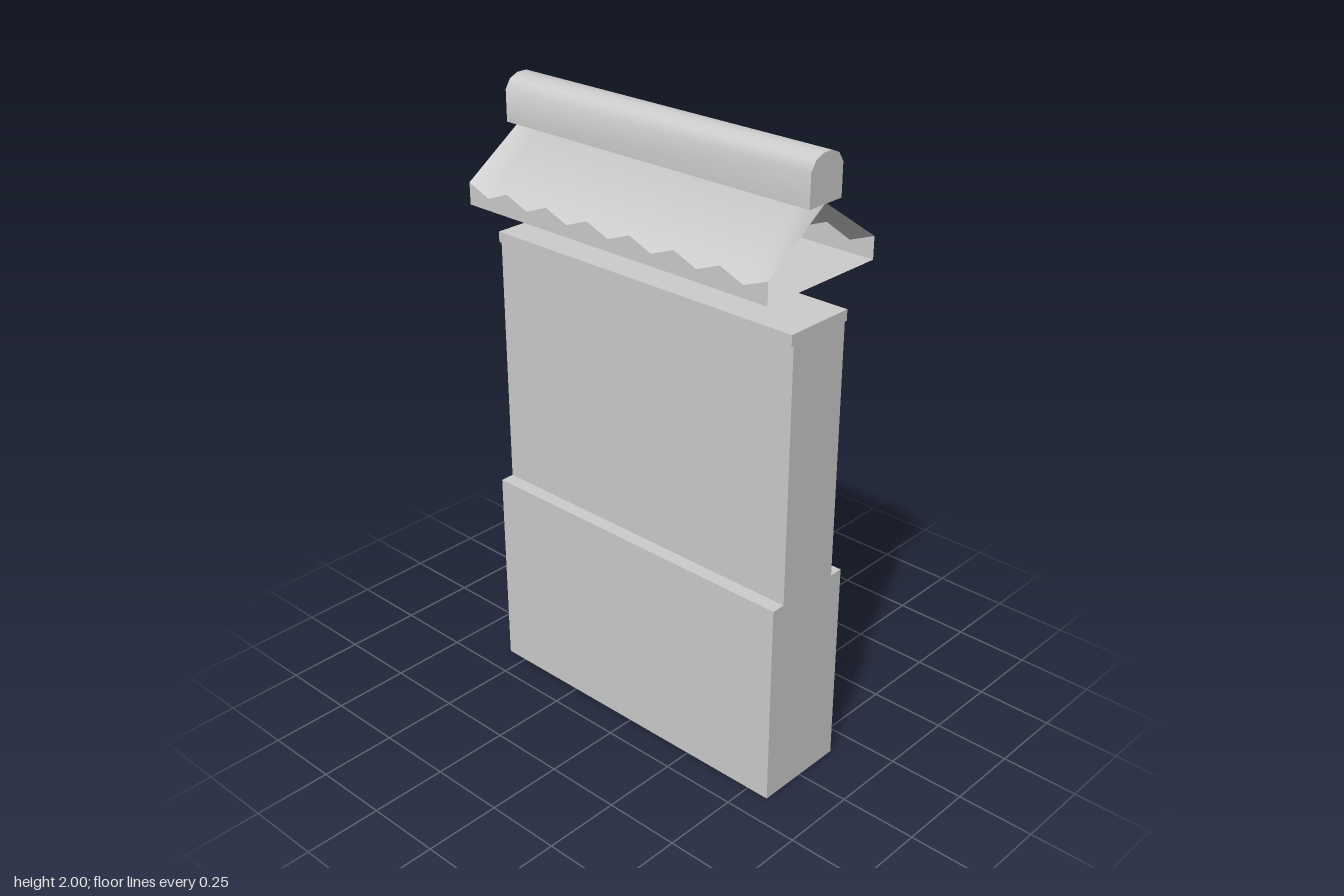
import * as THREE from 'three';
import { toCreasedNormals } from 'three/addons/utils/BufferGeometryUtils.js';

const HALF = 0.575;               // half length of the wall
const WAVES = 7;                  // tile waves along the roof
const COLS = WAVES * 2;           // each wave is one crest and one valley
const EAVE_Z = 0.226, FLOOR_Y = 1.64;

const material = new THREE.MeshStandardMaterial({ color: 0xcccccc, side: THREE.DoubleSide });

function addMesh(parent, name, geometry) {
  const mesh = new THREE.Mesh(geometry, material);
  mesh.name = name;
  parent.add(mesh);
}

// Extrude a [z, y] outline along the whole length, centred on x = 0
function extrudeAlongX(points) {
  const shape = new THREE.Shape(points.map(([z, y]) => new THREE.Vector2(-z, y)));
  return new THREE.ExtrudeGeometry(shape, { depth: HALF * 2, bevelEnabled: false })
    .translate(0, 0, -HALF)
    .rotateY(Math.PI / 2);
}

// Remove the triangles lying flat on y = 0
function openBottom(geometry) {
  const src = geometry.toNonIndexed().getAttribute('position');
  const kept = [];
  for (let i = 0; i < src.count; i += 3) {
    if (Math.max(src.getY(i), src.getY(i + 1), src.getY(i + 2)) < 1e-4) continue;
    for (let k = i; k < i + 3; k++) kept.push(src.getX(k), src.getY(k), src.getZ(k));
  }
  const out = new THREE.BufferGeometry();
  out.setAttribute('position', new THREE.Float32BufferAttribute(kept, 3));
  out.computeVertexNormals();
  return out;
}

// Smooth sheet through rows running along x; each row has z, crest and valley heights
function sheet(rows) {
  const pos = [], index = [], n = COLS + 1;
  for (const { z, crest, valley } of rows) {
    for (let i = 0; i < n; i++) {
      pos.push(-HALF + (2 * HALF * i) / COLS, i % 2 ? valley : crest, z);
    }
  }
  for (let r = 0; r < rows.length - 1; r++) {
    for (let i = 0; i < COLS; i++) {
      const a = r * n + i, b = a + n;
      index.push(a, b, b + 1, a, b + 1, a + 1);
    }
  }
  const g = new THREE.BufferGeometry();
  g.setAttribute('position', new THREE.Float32BufferAttribute(pos, 3));
  g.setIndex(index);
  g.computeVertexNormals();
  return g;
}

export function createModel() {
  const model = new THREE.Group();
  model.name = 'roofedWall';

  // Wall body: thick plinth, thinner panel and a small top ledge, open underneath
  const side = [[0.157, 0], [0.157, 0.675], [0.111, 0.675], [0.111, 1.492], [0.12, 1.492], [0.12, 1.526]];
  const mirrored = side.map(([z, y]) => [-z, y]).reverse();
  addMesh(model, 'wall', openBottom(extrudeAlongX([...side, ...mirrored].reverse())));

  // Tiled roof: wavy slopes, upright eave boards and a flat soffit, ends open
  const roof = new THREE.Group();
  roof.name = 'roof';
  model.add(roof);
  const eave = (z) => ({ z, crest: 1.709, valley: 1.677 });
  const low = (z) => ({ z, crest: FLOOR_Y, valley: FLOOR_Y });
  const ridge = { z: 0, crest: 1.862, valley: 1.855 };
  addMesh(roof, 'tileSlopes', sheet([eave(-EAVE_Z), ridge, eave(EAVE_Z)]));
  addMesh(roof, 'frontEave', sheet([eave(EAVE_Z), low(EAVE_Z)]));
  addMesh(roof, 'backEave', sheet([low(-EAVE_Z), eave(-EAVE_Z)]));
  addMesh(roof, 'soffit', sheet([low(EAVE_Z), low(-EAVE_Z)]));

  // Ridge cap with rounded shoulders
  const half = [[0.067, 1.859], [0.067, 1.958], [0.048, 1.987], [0.018, 2]];
  const cap = [...half, ...half.map(([z, y]) => [-z, y]).reverse()].reverse();
  addMesh(model, 'ridgeCap', toCreasedNormals(extrudeAlongX(cap), 0.8));

  return model;
}
